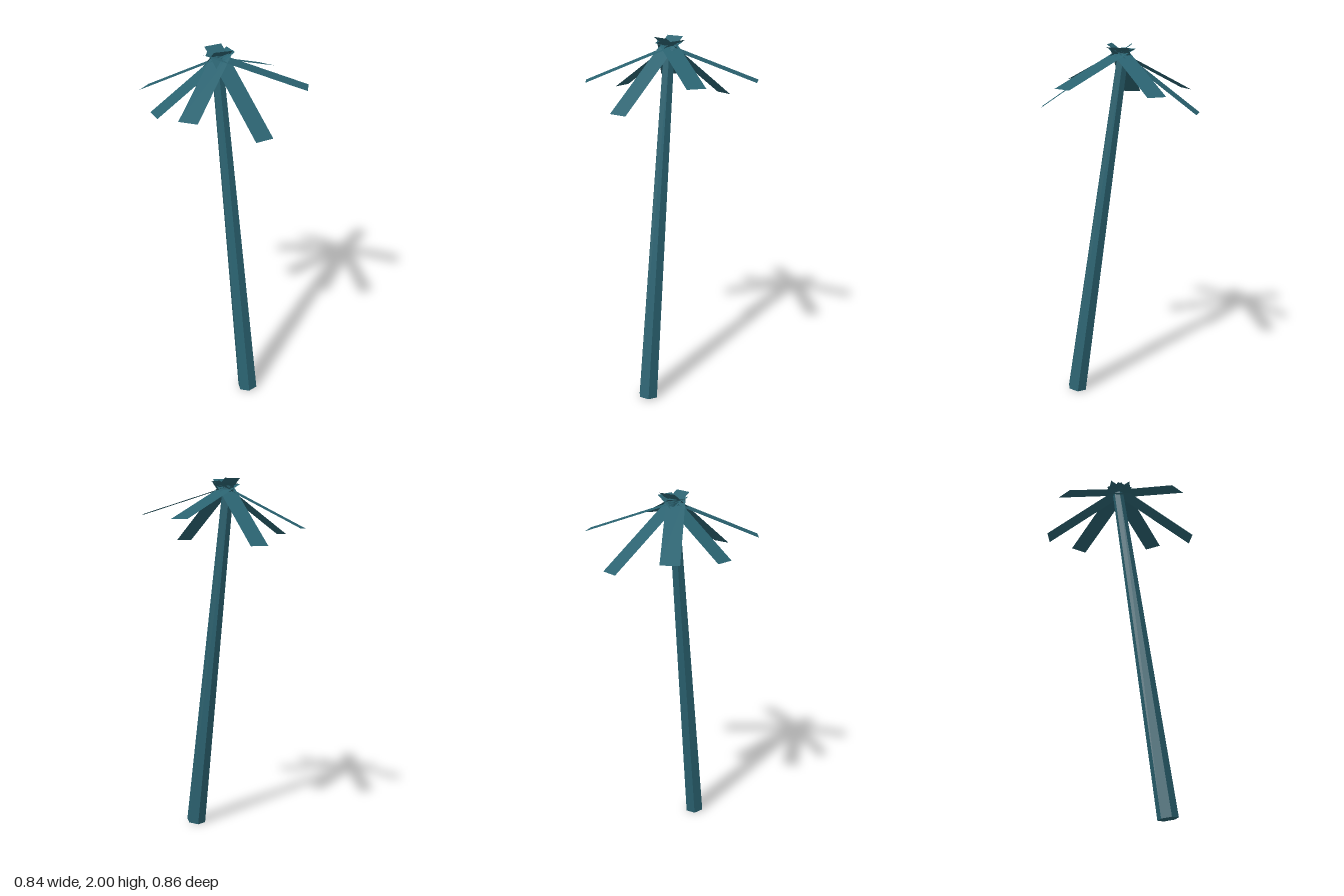
import * as THREE from 'three';

const COLOR = 0x2a6270;
const UP = new THREE.Vector3(0, 1, 0);

// Flat leaf blade running from its inner end to its drooping tip, its width kept level
function makeLeaf(inner, tip, material) {
  const a = new THREE.Vector3(...inner);
  const b = new THREE.Vector3(...tip);
  const along = b.clone().sub(a);
  const length = along.length();
  along.normalize();
  const side = along.clone().cross(UP).normalize();
  const normal = side.clone().cross(along);
  const geometry = new THREE.PlaneGeometry(0.098, length);
  geometry.applyMatrix4(new THREE.Matrix4().makeBasis(side, along, normal));
  const leaf = new THREE.Mesh(geometry, material);
  leaf.position.copy(a).add(b).multiplyScalar(0.5);
  return leaf;
}

export function createModel() {
  const model = new THREE.Group();
  model.name = 'palmTree';

  // Leaning, tapered six-sided trunk
  const base = new THREE.Vector3(0.247, 0.007, 0.034);
  const top = new THREE.Vector3(-0.025, 1.965, 0.034);
  const axis = top.clone().sub(base);
  const trunk = new THREE.Mesh(
    new THREE.CylinderGeometry(0.031, 0.056, axis.length(), 6),
    new THREE.MeshStandardMaterial({ color: COLOR, flatShading: true })
  );
  trunk.name = 'trunk';
  trunk.position.copy(base).add(top).multiplyScalar(0.5);
  trunk.quaternion.setFromUnitVectors(UP, axis.normalize());
  model.add(trunk);

  // Crown of seven leaves: [inner end, tip]
  const leafMaterial = new THREE.MeshStandardMaterial({
    color: COLOR, flatShading: true, side: THREE.DoubleSide
  });
  const crown = new THREE.Group();
  crown.name = 'crown';
  const leaves = [
    [[0.003, 1.972, 0.092], [-0.142, 1.785, -0.418]],
    [[-0.056, 1.973, 0.072], [0.31, 1.81, -0.284]],
    [[-0.068, 2.0, 0.022], [0.41, 1.665, 0.097]],
    [[-0.037, 1.975, -0.028], [0.213, 1.775, 0.404]],
    [[0.004, 1.985, -0.034], [-0.106, 1.703, 0.372]],
    [[0.046, 1.982, 0.012], [-0.395, 1.735, 0.224]],
    [[0.048, 2.0, 0.05], [-0.402, 1.651, -0.116]]
  ];
  leaves.forEach(([inner, tip], i) => {
    const leaf = makeLeaf(inner, tip, leafMaterial);
    leaf.name = `leaf${i + 1}`;
    crown.add(leaf);
  });
  model.add(crown);

  return model;
}
